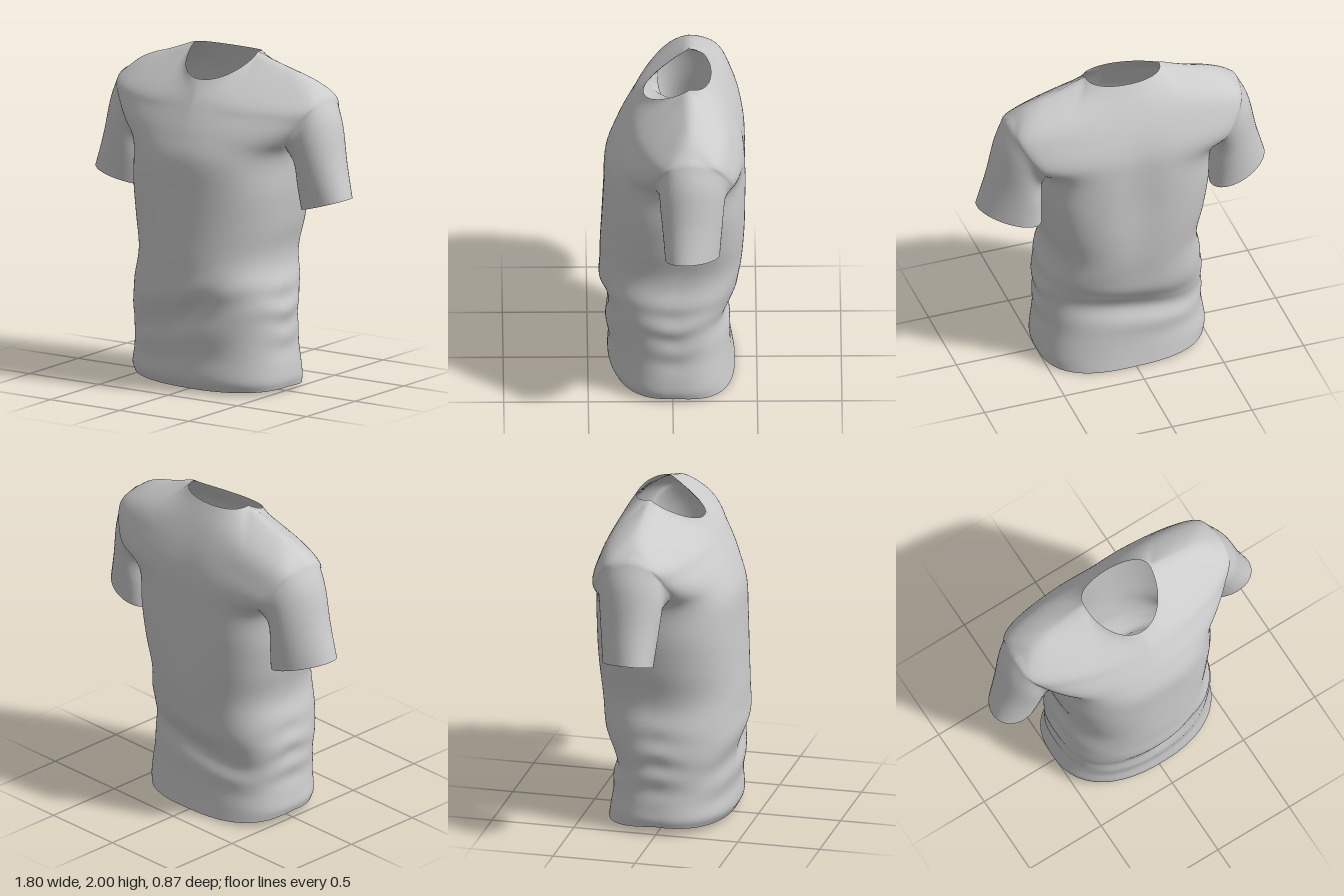
import * as THREE from 'three';

const COLS = 60, STEP = 6, NECK = 0.4; // NECK: share of the top row taken by the neckline
// Rows from hem to shoulder: side x, y, z(front), z(back) | centre y, z (front) | centre y, z (back) | roundness
const ROWS = [
  [0.512, 0.035, 0, 0, 0.018, 0.355, 0.0, -0.37, 2.3],
  [0.522, 0.09, 0, 0, 0.08, 0.383, 0.08, -0.357, 2.3],
  [0.507, 0.2, 0, 0, 0.19, 0.38, 0.2, -0.342, 2.3],
  [0.5, 0.3, 0, 0, 0.3, 0.392, 0.3, -0.338, 2.3],
  [0.503, 0.4, 0, 0, 0.4, 0.395, 0.4, -0.315, 2.3],
  [0.5, 0.5, 0, 0, 0.5, 0.412, 0.49, -0.345, 2.3],
  [0.488, 0.62, 0, 0, 0.62, 0.432, 0.6, -0.39, 2.3],
  [0.455, 0.8, -0.02, -0.02, 0.8, 0.428, 0.8, -0.42, 2.3],
  [0.49, 1.0, -0.05, -0.05, 1.0, 0.418, 1.0, -0.436, 2.35],
  [0.515, 1.2, -0.07, -0.07, 1.2, 0.408, 1.2, -0.44, 2.45],
  [0.527, 1.4, -0.09, -0.09, 1.4, 0.398, 1.4, -0.44, 2.4],
  [0.56, 1.51, 0.1, -0.335, 1.54, 0.35, 1.56, -0.428, 1.85],
  [0.645, 1.63, 0.08, -0.32, 1.66, 0.29, 1.71, -0.38, 1.5],
  [0.705, 1.735, 0.02, -0.235, 1.765, 0.23, 1.86, -0.305, 1.25],
];
const ARMPIT = 10;
const shoulderY = new THREE.SplineCurve([[0, 2], [0.14, 1.965], [0.34, 1.93], [0.55, 1.9], [0.76, 1.855], [1, 1.785]]
  .map(([t, y]) => new THREE.Vector2(t, y)));

// Neckline in the middle, shoulder seam at both ends
function topPoint(u, front) {
  const a = Math.abs(u), s = Math.sign(u);
  if (a <= NECK + 1e-6) {
    const q = Math.min(1, a / NECK) * Math.PI / 2, c = Math.max(0, Math.cos(q));
    return new THREE.Vector3(s * 0.23 * Math.sin(q), 2 - (front ? 0.15 : 0.02) * c,
      front ? -0.1 + 0.27 * Math.pow(c, 1.12) : -0.1 - 0.13 * Math.pow(c, 0.75));
  }
  const t = (a - NECK) / (1 - NECK);
  return new THREE.Vector3(s * (0.23 + 0.485 * t), shoulderY.getPoint(t).y, -0.1);
}

function rowPoint(r, u, front) {
  const [x, y, zf, zb, yf, cf, yb, cb, round] = r;
  const a = Math.abs(u), q = a * Math.PI / 2, n = front ? round : round + 0.4;
  const ze = front ? zf : zb, zc = front ? cf : cb, yc = front ? yf : yb;
  const c = a >= 1 ? 0 : Math.pow(Math.cos(q), 2 / n);
  return new THREE.Vector3(Math.sign(u) * x * Math.pow(Math.sin(q), 2 / n), yc + (y - yc) * a * a, ze + (zc - ze) * c);
}

// Slanted cloth folds round the waist and a shallow channel down the spine
function addFolds(p, u, front) {
  const fade = Math.cos(Math.abs(u) * Math.PI / 2);
  const waist = Math.exp(-(((p.y - 0.45) / 0.24) ** 2));
  const hemFade = THREE.MathUtils.smoothstep(p.y, 0.03, 0.2);
  const { x, y } = p;
  if (front) {
    p.z += 0.007 * fade * waist * hemFade * Math.sin(24 * y - 9 * x + 1.5 * Math.sin(5 * x));
    p.z -= 0.018 * fade * Math.exp(-(((y - 0.5 - 0.7 * (x - 0.1)) / 0.08) ** 2) - ((x - 0.12) / 0.22) ** 2);
    p.y += 0.15 * x * fade * waist * hemFade;
  } else {
    p.z += 0.006 * fade * waist * hemFade * Math.sin(20 * y + 6 * x);
    p.z += 0.022 * Math.exp(-((x / 0.13) ** 2)) * Math.exp(-(((y - 1.25) / 0.4) ** 2));
    p.y += 0.2 * x * fade * waist * hemFade;
  }
  if (y < 1.2) p.x += 0.009 * Math.abs(u) ** 4 * waist * hemFade * Math.sin(38 * y + 2 * Math.sign(u));
  p.y -= 0.025 * x * (1 - hemFade);
}

// Grid of points: rows from hem to shoulder, columns from right to left
function panelPoints(front) {
  const columns = [], last = ROWS[ROWS.length - 1];
  for (let i = 0; i <= COLS; i++) {
    const u = (i - COLS / 2) / (COLS / 2);
    const points = ROWS.map((r) => rowPoint(r, u, front)), top = topPoint(u, front);
    // Beyond the shoulder seam the curve leads on to the other panel, which rounds the shoulder
    const beyond = top.clone().multiplyScalar(2).sub(points[points.length - 1])
      .lerp(rowPoint(last, u, !front), 0.8 * THREE.MathUtils.smoothstep(Math.abs(u), NECK, 0.8));
    const curve = new THREE.CatmullRomCurve3([...points, top, beyond], false, 'catmullrom', 0.5);
    const column = [];
    for (let j = 0; j <= ROWS.length * STEP; j++) {
      const p = curve.getPoint(j / ((ROWS.length + 1) * STEP));
      // Side seams of both panels meet below the armpit
      if (Math.abs(u) === 1 && j <= ARMPIT * STEP) {
        const k = Math.min(ARMPIT - 1, Math.floor(j / STEP));
        p.z = THREE.MathUtils.lerp(ROWS[k][2], ROWS[k + 1][2], j / STEP - k);
      }
      addFolds(p, u, front);
      column.push(p);
    }
    columns.push(column);
  }
  return columns[0].map((_, j) => columns.map((c) => c[j]));
}

// Sleeve rings: inner x, y, outer x, y, z front, z back, forward lean of the outer edge
const SLEEVE = [
  [0.527, 1.345, 0.785, 1.63, 0.078, -0.305, 0.015],
  [0.528, 1.22, 0.838, 1.4, 0.06, -0.288, 0.03],
  [0.532, 1.08, 0.898, 1.19, 0.04, -0.27, 0.047],
];
function sleevePoints(loop, side) {
  const K = loop.length - 1, steps = 24;
  const lines = loop.map((start, k) => {
    const q = (k / K) * Math.PI * 2, w = (1 - Math.cos(q)) / 2;
    const keys = SLEEVE.map(([xi, yi, xo, yo, zf, zb, lean]) => new THREE.Vector3(
      side * (xi + (xo - xi) * w), yi + (yo - yi) * w,
      (zf + zb) / 2 + (zf - zb) / 2 * Math.sin(q) - lean * Math.cos(q)));
    return new THREE.CatmullRomCurve3([start, ...keys], false, 'catmullrom', 0.5).getPoints(steps);
  });
  return lines[0].map((_, j) => lines.map((l) => l[j]));
}

function gridGeometry(grid, flip) {
  const w = grid[0].length, index = [];
  for (let j = 0; j < grid.length - 1; j++) {
    for (let i = 0; i < w - 1; i++) {
      const a = j * w + i, b = a + 1, c = a + w, d = c + 1;
      if (flip) index.push(a, d, b, a, c, d);
      else index.push(a, b, d, a, d, c);
    }
  }
  const g = new THREE.BufferGeometry().setFromPoints(grid.flat());
  g.setIndex(index);
  g.computeVertexNormals();
  return g;
}

// Share normals where parts meet, so the cloth shades as one piece
function weldNormals(geometries) {
  const sums = new Map(), v = new THREE.Vector3();
  const key = (p, i) => [p.getX(i), p.getY(i), p.getZ(i)].map((n) => Math.round(n * 5000)).join();
  const each = (f) => geometries.forEach((g) => {
    const p = g.attributes.position;
    for (let i = 0; i < p.count; i++) f(g.attributes.normal, i, key(p, i));
  });
  each((n, i, k) => {
    if (!sums.has(k)) sums.set(k, new THREE.Vector3());
    sums.get(k).add(v.fromBufferAttribute(n, i));
  });
  each((n, i, k) => {
    v.copy(sums.get(k)).normalize();
    n.setXYZ(i, v.x, v.y, v.z);
  });
}

export function createModel() {
  const group = new THREE.Group();
  group.name = 'shirt';
  const material = new THREE.MeshStandardMaterial({ color: 0xcccccc, side: THREE.DoubleSide });

  const front = panelPoints(true), back = panelPoints(false);
  // Armhole: up the front edge, over the shoulder, down the back edge
  const armhole = (col) => {
    const edge = (grid) => grid.slice(ARMPIT * STEP).map((row) => row[col]);
    return [...edge(front), ...edge(back).reverse().slice(1)];
  };
  const parts = {
    frontPanel: gridGeometry(front, false),
    backPanel: gridGeometry(back, true),
    leftSleeve: gridGeometry(sleevePoints(armhole(COLS), 1), true),
    rightSleeve: gridGeometry(sleevePoints(armhole(0), -1), false),
  };
  weldNormals(Object.values(parts));
  for (const [name, geometry] of Object.entries(parts)) {
    const mesh = new THREE.Mesh(geometry, material);
    mesh.name = name;
    group.add(mesh);
  }
  return group;
}
